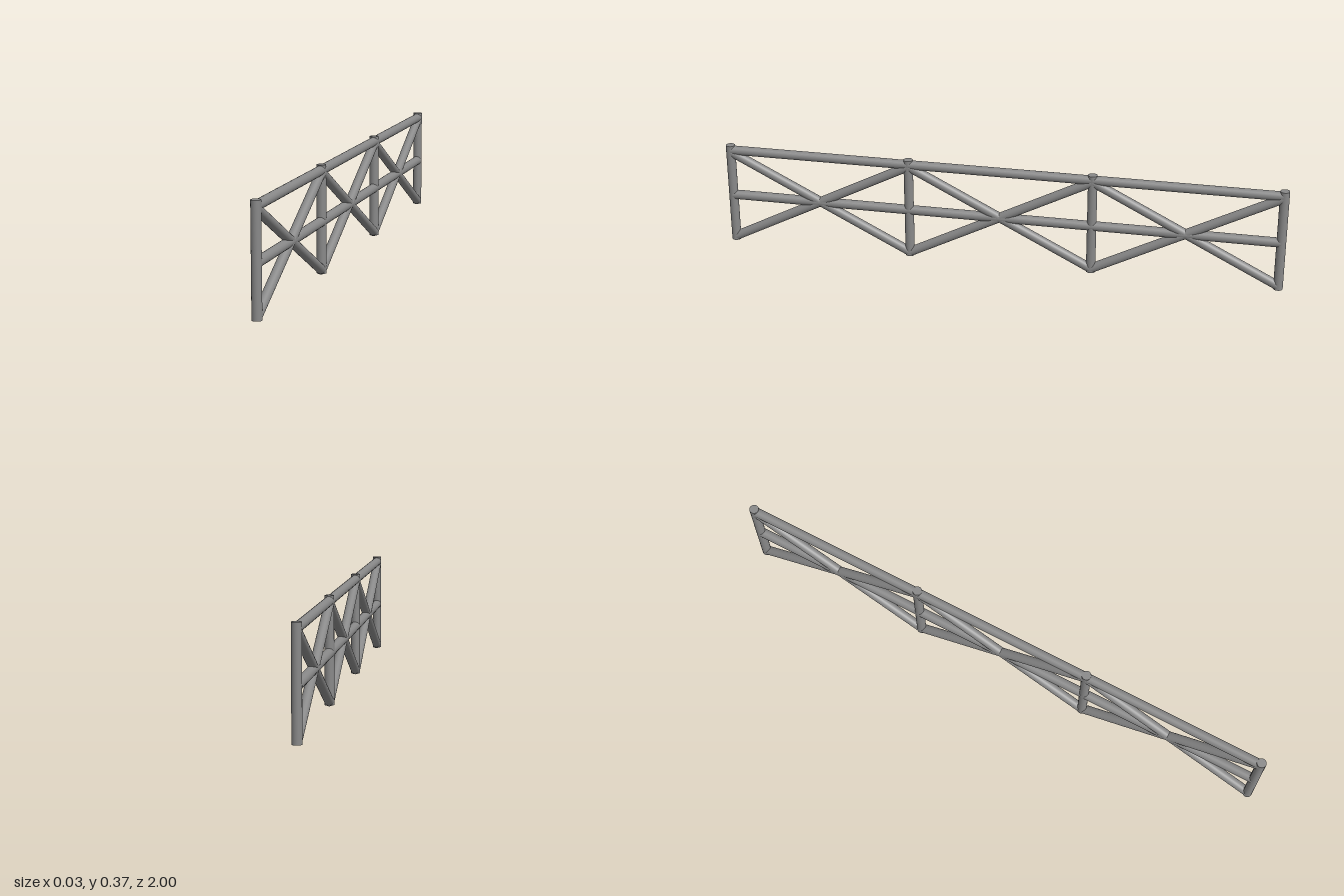
import * as THREE from 'three';

const R = 0.0165;              // tube radius
const END = 0.9835;            // z of the outer posts
const BAYS = 3;
const LOW = 0.015, HIGH = 0.348;   // brace end heights
const RAIL = 0.355, MID = 0.181;   // rail heights

export function createModel() {
  const group = new THREE.Group();
  const material = new THREE.MeshStandardMaterial({ color: 0x888888 });

  // Round capped bar between two points of the x = 0 plane
  function bar(name, y0, z0, y1, z1, radius = R) {
    const a = new THREE.Vector3(0, y0, z0);
    const b = new THREE.Vector3(0, y1, z1);
    const dir = b.clone().sub(a);
    const mesh = new THREE.Mesh(new THREE.CylinderGeometry(radius, radius, dir.length(), 24), material);
    mesh.name = name;
    mesh.position.copy(a).add(b).multiplyScalar(0.5);
    mesh.quaternion.setFromUnitVectors(new THREE.Vector3(0, 1, 0), dir.normalize());
    group.add(mesh);
  }

  // Horizontal rails, the middle one a touch thicker
  bar('topRail', RAIL, -END, RAIL, END);
  bar('middleRail', MID, -END, MID, END, 0.017);

  // Posts, with a pair of crossed braces in each bay
  const step = (2 * END) / BAYS;
  for (let i = 0; i <= BAYS; i++) {
    const z = -END + i * step;
    bar('post' + (i + 1), 0.004, z, 0.374, z);
    if (i < BAYS) {
      bar('risingBrace' + (i + 1), LOW, z, HIGH, z + step);
      bar('fallingBrace' + (i + 1), HIGH, z, LOW, z + step);
    }
  }
  return group;
}
